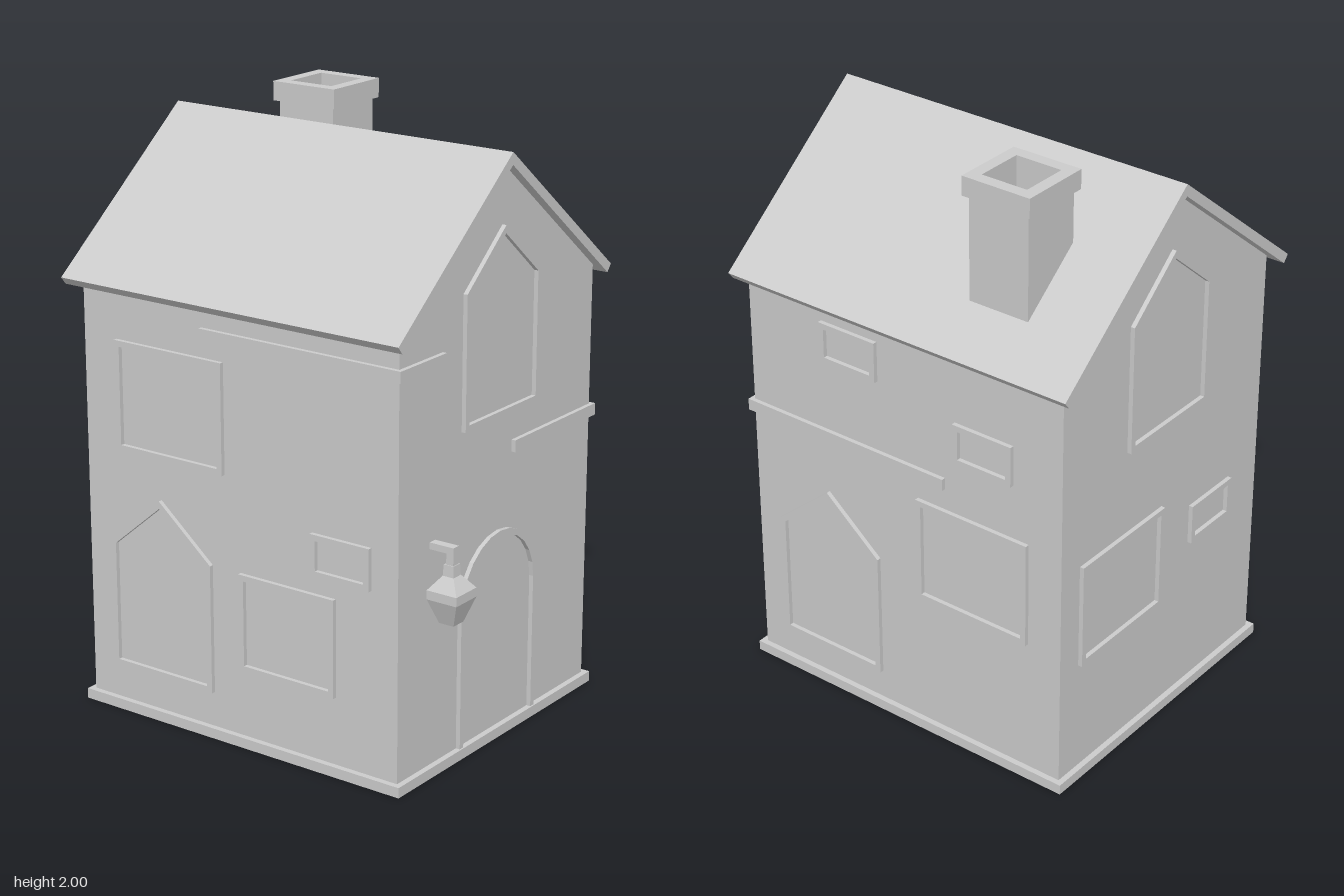
import * as THREE from 'three';

const mat = new THREE.MeshStandardMaterial({ color: 0xcccccc, flatShading: true });
const X0 = -0.665, X1 = 0.575, Z = 0.54; // wall faces
const RAISE = 0.015, FRAME = 0.02;       // trim relief and frame width

function add(parent, geometry, name, x = 0, y = 0, z = 0) {
  const mesh = new THREE.Mesh(geometry, mat);
  mesh.name = name;
  mesh.position.set(x, y, z);
  parent.add(mesh);
  return mesh;
}

// Box given by its limits on each axis
function block(parent, name, [x0, x1], [y0, y1], [z0, z1]) {
  return add(parent, new THREE.BoxGeometry(x1 - x0, y1 - y0, z1 - z0), name,
    (x0 + x1) / 2, (y0 + y1) / 2, (z0 + z1) / 2);
}

function extrude(points, depth, hole) {
  const toPath = (p, Type) => new Type(p.map(([x, y]) => new THREE.Vector2(x, y)));
  const shape = toPath(points, THREE.Shape);
  if (hole) shape.holes.push(toPath(hole, THREE.Path));
  return new THREE.ExtrudeGeometry(shape, { depth, bevelEnabled: false });
}

const rect = (u0, u1, y0, y1) => [[u0, y0], [u1, y0], [u1, y1], [u0, y1]];

function rectFrame(u0, u1, y0, y1) {
  const w = FRAME;
  return extrude(rect(u0, u1, y0, y1), RAISE, rect(u0 + w, u1 - w, y0 + w, y1 - w));
}

// Frame with a pointed top and even width all round
function pointedFrame(c, half, y0, shoulder, peak) {
  const slope = (peak - shoulder) / half;
  const outline = (w) => {
    const h = half - w, top = peak - w * Math.hypot(1, slope);
    return [[c - h, y0 + w], [c + h, y0 + w], [c + h, top - slope * h], [c, top], [c - h, top - slope * h]];
  };
  return extrude(outline(0), RAISE, outline(FRAME));
}

// Arched door surround, open at the floor
function archFrame(half, y0, spring) {
  const side = (r) => {
    const pts = [[r, y0]];
    for (let i = 0; i <= 12; i++) {
      const a = Math.PI * i / 12;
      pts.push([r * Math.cos(a), spring + r * Math.sin(a)]);
    }
    pts.push([-r, y0]);
    return pts;
  };
  return extrude([...side(half), ...side(half - FRAME).reverse()], RAISE);
}

// Group whose local +z points out of a wall
function wallGroup(parent, name, x, z, turn) {
  const g = new THREE.Group();
  g.name = name;
  g.position.set(x, 0, z);
  g.rotation.y = turn;
  parent.add(g);
  return g;
}

export function createModel() {
  const house = new THREE.Group();
  house.name = 'house';

  // Plinth, gabled walls and pitched roof
  block(house, 'plinth', [X0 - 0.02, X1 + 0.02], [0, 0.035], [-Z - 0.02, Z + 0.02]);
  const walls = add(house, extrude([[-Z, 0.01], [Z, 0.01], [Z, 1.468], [0, 1.9], [-Z, 1.468]], X1 - X0), 'walls', X0);
  walls.rotation.y = Math.PI / 2;
  const roof = add(house, extrude([[-0.595, 1.465], [-0.575, 1.44], [0, 1.9], [0.575, 1.44], [0.595, 1.465], [0, 1.94]], 1.32), 'roof', -0.71);
  roof.rotation.y = Math.PI / 2;

  // Hollow chimney with a wider cap
  const chimney = new THREE.Group();
  chimney.name = 'chimney';
  chimney.position.set(-0.35, 0, -0.335);
  house.add(chimney);
  const tube = (name, half, y0, y1) => {
    const flue = 0.083;
    const mesh = add(chimney, extrude(rect(-half, half, -half, half), y1 - y0, rect(-flue, flue, -flue, flue)), name, 0, y0, 0);
    mesh.rotation.x = -Math.PI / 2;
  };
  tube('chimneyShaft', 0.11, 1.55, 1.935);
  tube('chimneyCap', 0.125, 1.935, 2);

  // Windows and door on each wall
  const front = wallGroup(house, 'frontOpenings', 0, Z, 0);
  add(front, rectFrame(-0.53, -0.095, 0.91, 1.28), 'largeWindowFrame');
  add(front, rectFrame(-0.035, 0.34, 0.265, 0.595), 'mediumWindowFrame');
  add(front, rectFrame(0.25, 0.475, 0.655, 0.795), 'smallWindowFrame');
  add(front, pointedFrame(-0.357, 0.208, 0.155, 0.595, 0.77), 'pointedWindowFrame');

  const right = wallGroup(house, 'doorSideOpenings', X1, 0, Math.PI / 2);
  add(right, pointedFrame(0, 0.208, 1.095, 1.535, 1.71), 'gableWindowFrame');
  add(right, archFrame(0.217, 0.03, 0.497), 'doorFrame');

  const back = wallGroup(house, 'backOpenings', 0, -Z, Math.PI);
  add(back, rectFrame(0.105, 0.54, 0.51, 0.88), 'largeWindowFrame');
  add(back, rectFrame(-0.275, -0.05, 1.245, 1.385), 'smallWindowFrame');
  add(back, rectFrame(0.255, 0.48, 1.07, 1.21), 'smallWindowFrame');
  add(back, pointedFrame(-0.265, 0.208, 0.14, 0.585, 0.76), 'pointedWindowFrame');

  const left = wallGroup(house, 'plainSideOpenings', X0, 0, -Math.PI / 2);
  add(left, pointedFrame(0, 0.208, 1.095, 1.535, 1.71), 'gableWindowFrame');
  add(left, rectFrame(-0.445, -0.01, 0.43, 0.8), 'largeWindowFrame');
  add(left, rectFrame(0.15, 0.375, 0.58, 0.72), 'smallWindowFrame');

  // Trim boards wrapping two corners
  const ox = X1 + RAISE, oz = Z + RAISE;
  block(house, 'frontTrim', [-0.18, ox], [1.34, 1.378], [Z, oz]);
  block(house, 'frontTrimReturn', [X1, ox], [1.34, 1.378], [0.315, Z]);
  block(house, 'backTrim', [-0.215, ox], [0.955, 0.995], [-oz, -Z]);
  block(house, 'backTrimReturn', [X1, ox], [0.955, 0.995], [-Z, -0.075]);

  // Wall lantern on a bent arm
  const lamp = new THREE.Group();
  lamp.name = 'wallLantern';
  house.add(lamp);
  block(lamp, 'lampArm', [X1, 0.663], [0.763, 0.785], [0.345, 0.375]);
  block(lamp, 'lampDrop', [0.637, 0.663], [0.72, 0.763], [0.345, 0.375]);
  const profile = [[0, 0.535], [0.027, 0.535], [0.055, 0.615], [0.055, 0.645], [0.02, 0.69], [0.018, 0.727], [0, 0.727]]
    .map(([r, y]) => new THREE.Vector2(r * Math.SQRT2, y));
  add(lamp, new THREE.LatheGeometry(profile, 4, Math.PI / 4), 'lampBody', 0.648, 0, 0.36);

  return house;
}
